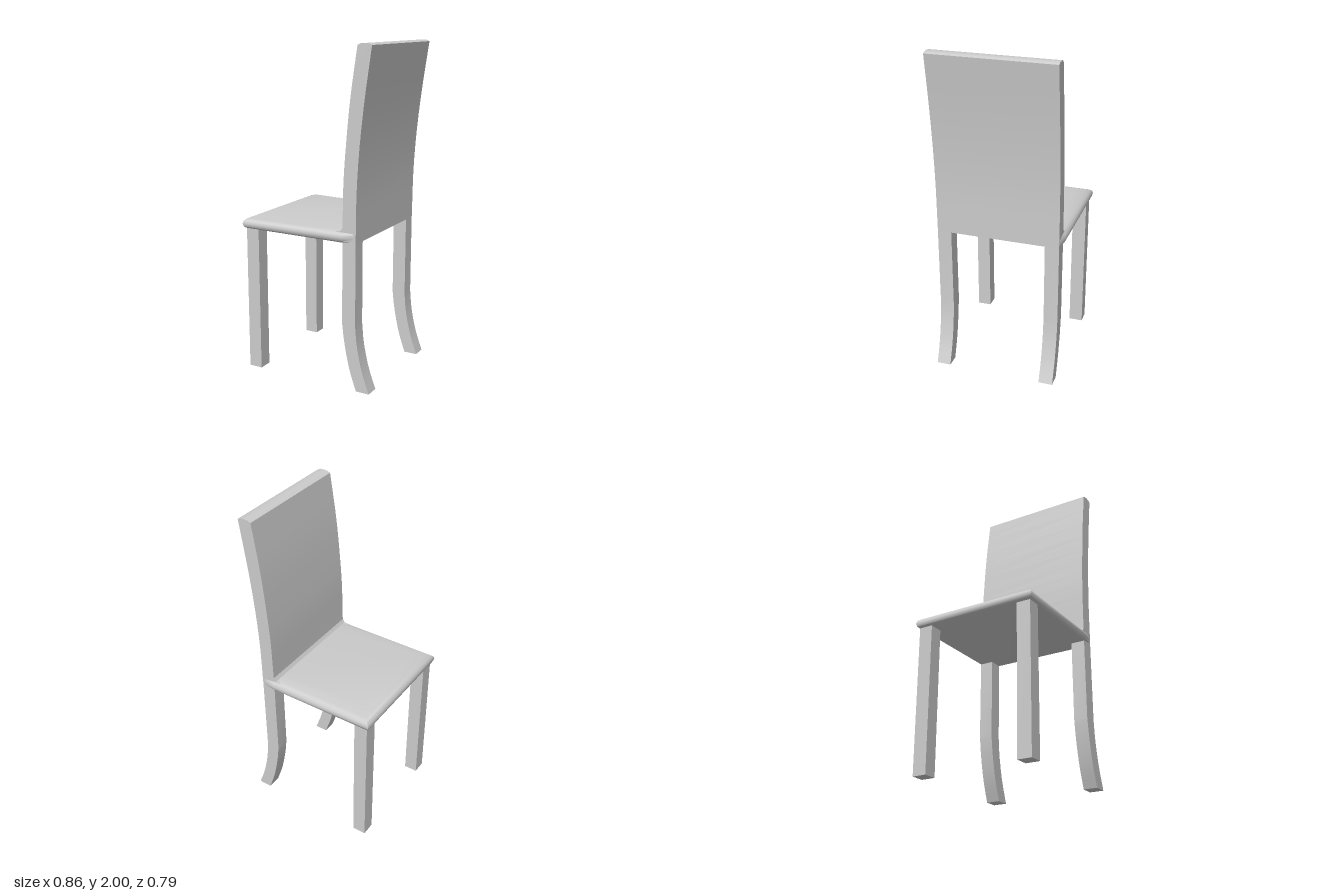
import * as THREE from 'three';
import { toCreasedNormals } from 'three/addons/utils/BufferGeometryUtils.js';

const material = new THREE.MeshStandardMaterial({ color: 0xcccccc });

function part(name, geometry, crease = 0.6) {
  const mesh = new THREE.Mesh(toCreasedNormals(geometry, crease), material);
  mesh.name = name;
  return mesh;
}

// Extrude a side profile (x, y) between two z positions
function slab(name, front, rear, z0, z1) {
  const shape = new THREE.Shape([...front, ...rear].map(([x, y]) => new THREE.Vector2(x, y)));
  const geometry = new THREE.ExtrudeGeometry(shape, { depth: z1 - z0, bevelEnabled: false });
  return part(name, geometry.translate(0, 0, z0));
}

// Points along a smooth curve through the given profile points
function smooth(points, n = 10) {
  const curve = new THREE.CatmullRomCurve3(points.map(([x, y]) => new THREE.Vector3(x, y, 0)));
  return curve.getPoints(n).map((p) => [p.x, p.y]);
}

// Seat cushion: stacked outlines with a rounded rim and a low crown near the front
function seatGeometry() {
  const rings = [ // inset, height, crown rise at the front
    [0.02, 0.89, 0], [0.006, 0.9, 0], [0, 0.92, 0], [0.006, 0.938, 0],
    [0.02, 0.95, 0], [0.04, 0.954, 0.003], [0.1, 0.955, 0.023],
  ];
  const positions = [];
  const index = [];
  const n = 6;
  for (const [inset, y, rise] of rings) {
    const x0 = -0.43 + inset;
    const z = 0.395 - inset;
    const zr = Math.min(z, 0.374);
    positions.push(
      x0, y + rise, z, 0.25, y, z, 0.33, y, zr,
      0.33, y, -zr, 0.25, y, -z, x0, y + rise, -z,
    );
  }
  for (let r = 0; r < rings.length - 1; r++) {
    for (let i = 0; i < n; i++) {
      const a = r * n + i;
      const b = r * n + (i + 1) % n;
      index.push(a, b, b + n, a, b + n, a + n);
    }
  }
  // Close the underside and the top
  const top = (rings.length - 1) * n;
  for (const [a, b, c] of [[0, 1, 4], [0, 4, 5], [1, 2, 3], [1, 3, 4]]) {
    index.push(top + a, top + b, top + c, a, c, b);
  }
  const geometry = new THREE.BufferGeometry();
  geometry.setAttribute('position', new THREE.Float32BufferAttribute(positions, 3));
  geometry.setIndex(index);
  return geometry;
}

export function createModel() {
  const chair = new THREE.Group();
  chair.name = 'chair';

  chair.add(part('seat', seatGeometry(), 0.9));

  // Curved backrest with a small fillet where it meets the seat
  const backFront = [[0.25, 0.89], [0.2, 0.95], [0.235, 0.955], [0.25, 0.975],
    ...smooth([[0.251, 1.0], [0.257, 1.25], [0.272, 1.45], [0.297, 1.7], [0.34, 1.99]])];
  const backRear = [[0.36, 1.998], [0.385, 2], [0.41, 1.998],
    ...smooth([[0.427, 1.99], [0.385, 1.7], [0.357, 1.45], [0.34, 1.2], [0.336, 0.95]]), [0.335, 0.89]];
  chair.add(slab('backrest', backFront, backRear, -0.376, 0.376));

  for (const [side, s] of [['left', 1], ['right', -1]]) {
    const z0 = s > 0 ? 0.29 : -0.376;

    // Rear leg sweeping backwards to the floor
    const legFront = [[0.25, 0.9], ...smooth([[0.25, 0.4], [0.264, 0.29], [0.298, 0.13], [0.342, 0]], 8)];
    const legRear = [...smooth([[0.426, 0], [0.38, 0.13], [0.347, 0.28], [0.335, 0.4]], 8), [0.335, 0.9]];
    chair.add(slab(`${side}RearLeg`, legFront, legRear, z0, z0 + 0.086));

    // Straight front leg
    const frontLeg = part(`${side}FrontLeg`, new THREE.BoxGeometry(0.085, 0.9, 0.086));
    frontLeg.position.set(-0.369, 0.45, s * 0.333);
    chair.add(frontLeg);
  }
  return chair;
}
